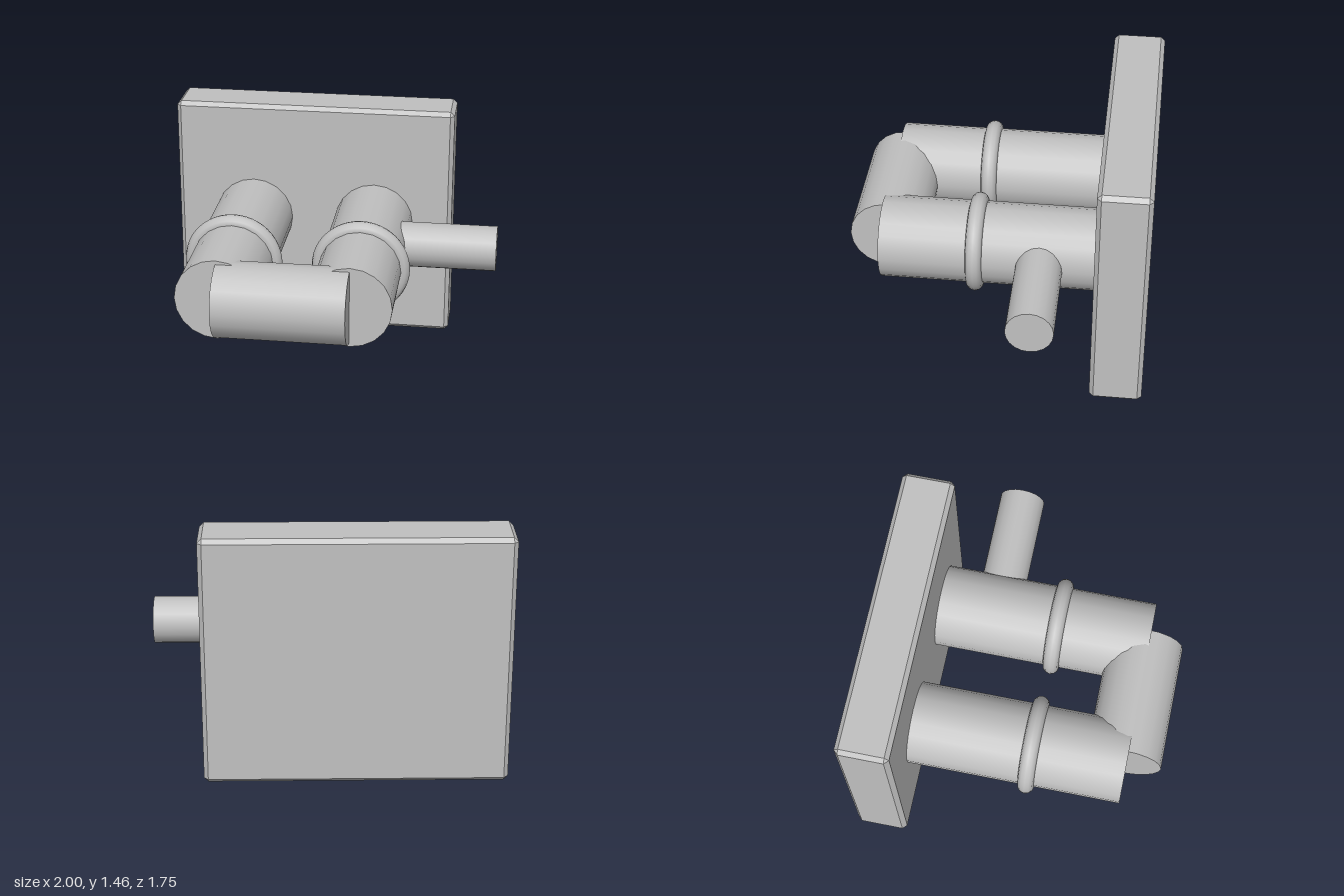
import * as THREE from 'three';
import { ConvexGeometry } from 'three/addons/geometries/ConvexGeometry.js';

const SIDES = 20;
const AXIS_Y = 0.73; // height of every pipe's centre line

// Box with every edge chamfered by c
function chamferedBox(w, h, d, c) {
  const points = [];
  for (const sx of [-1, 1]) for (const sy of [-1, 1]) for (const sz of [-1, 1]) {
    const x = w / 2, y = h / 2, z = d / 2;
    points.push(
      new THREE.Vector3(sx * x, sy * (y - c), sz * (z - c)),
      new THREE.Vector3(sx * (x - c), sy * y, sz * (z - c)),
      new THREE.Vector3(sx * (x - c), sy * (y - c), sz * z));
  }
  return new ConvexGeometry(points);
}

export function createModel() {
  const model = new THREE.Group();
  model.name = 'wallFitting';
  const metal = new THREE.MeshStandardMaterial({ color: 0xc0c0c0 });
  metal.name = 'grey metal';

  function add(name, geometry, x, y, z) {
    const mesh = new THREE.Mesh(geometry, metal);
    mesh.name = name;
    mesh.position.set(x, y, z);
    model.add(mesh);
    return mesh;
  }

  // Wall plate
  add('wallPlate', chamferedBox(1.705, 1.455, 0.305, 0.025), -0.1475, 0.7275, -0.7275);

  // Two pipes coming out of the plate, each with a ring
  const pipeX = { right: -0.525, left: 0.225 };
  for (const [side, x] of Object.entries(pipeX)) {
    const pipe = new THREE.CylinderGeometry(0.24, 0.24, 1.275, SIDES).rotateX(Math.PI / 2);
    add(side + 'Pipe', pipe, x, AXIS_Y, 0.0375);
    add(side + 'Ring', new THREE.TorusGeometry(0.24, 0.048, 12, 48), x, AXIS_Y, 0.125);
  }

  // Crossbar joining the pipe ends
  const bar = new THREE.CylinderGeometry(0.22, 0.22, 0.75, SIDES).rotateZ(Math.PI / 2);
  add('crossbar', bar, -0.15, AXIS_Y, 0.655);

  // Side outlet from the left pipe
  const outlet = new THREE.CylinderGeometry(0.135, 0.135, 0.775, SIDES).rotateZ(Math.PI / 2);
  add('sideOutlet', outlet, 0.6125, AXIS_Y, -0.25);

  return model;
}
